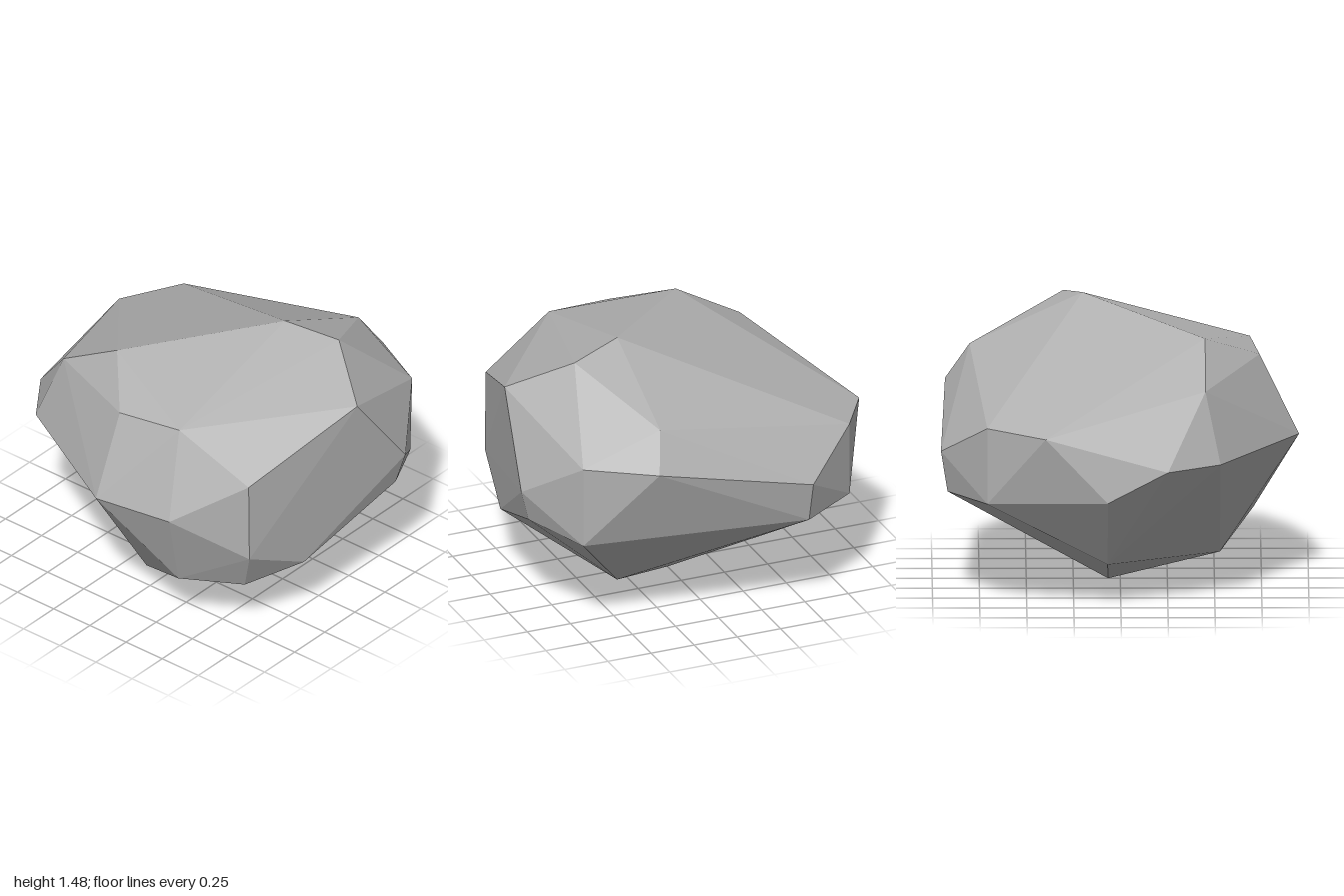
import * as THREE from 'three';
import { ConvexGeometry } from 'three/addons/geometries/ConvexGeometry.js';

// Corners of the boulder, grouped in rough rings from the crown to the base
const crown = [
  [-0.27, 1.36, 0.45], [0.35, 1.48, -0.2], [0.64, 1.43, -0.3], [0.95, 1.25, -0.08],
  [0.36, 1.24, 0.69], [-0.01, 1.22, 0.74], [-0.64, 1.15, 0.45], [0.36, 1.2, -0.8],
];
const shoulder = [
  [0.765, 1.0, 0.6], [0.78, 1.02, -0.74], [0.42, 1.0, -0.93],
  [-0.775, 0.98, -0.71], [-0.965, 0.96, -0.4],
];
const waist = [
  [0, 0.785, 0.95], [0.44, 0.78, 0.87], [1.0, 0.79, -0.42],
  [-0.46, 0.79, -0.955], [-0.965, 0.78, 0.25], [-0.765, 0.78, 0.53],
];
const belly = [
  [0.77, 0.545, 0.6], [0.95, 0.61, -0.4], [0.775, 0.565, -0.73],
  [-0.45, 0.57, -0.92], [-0.775, 0.57, -0.71], [-1.0, 0.62, -0.07],
];
const base = [
  [0.37, 0.31, 0.71], [0.68, 0.31, 0.53], [0.84, 0.37, 0.23], [-0.68, 0.22, -0.07],
  [0, 0.145, 0.53], [0.35, 0.05, -0.2], [0, 0, -0.065],
];

export function createModel() {
  const stone = new THREE.MeshStandardMaterial({ color: 0xb0b0b0, flatShading: true });
  stone.name = 'grey stone';

  // Faceted hull stretched over the rings
  const corners = [...crown, ...shoulder, ...waist, ...belly, ...base]
    .map((p) => new THREE.Vector3(...p));
  const boulder = new THREE.Mesh(new ConvexGeometry(corners), stone);
  boulder.name = 'boulder';

  const model = new THREE.Group();
  model.name = 'rock';
  model.add(boulder);
  return model;
}
